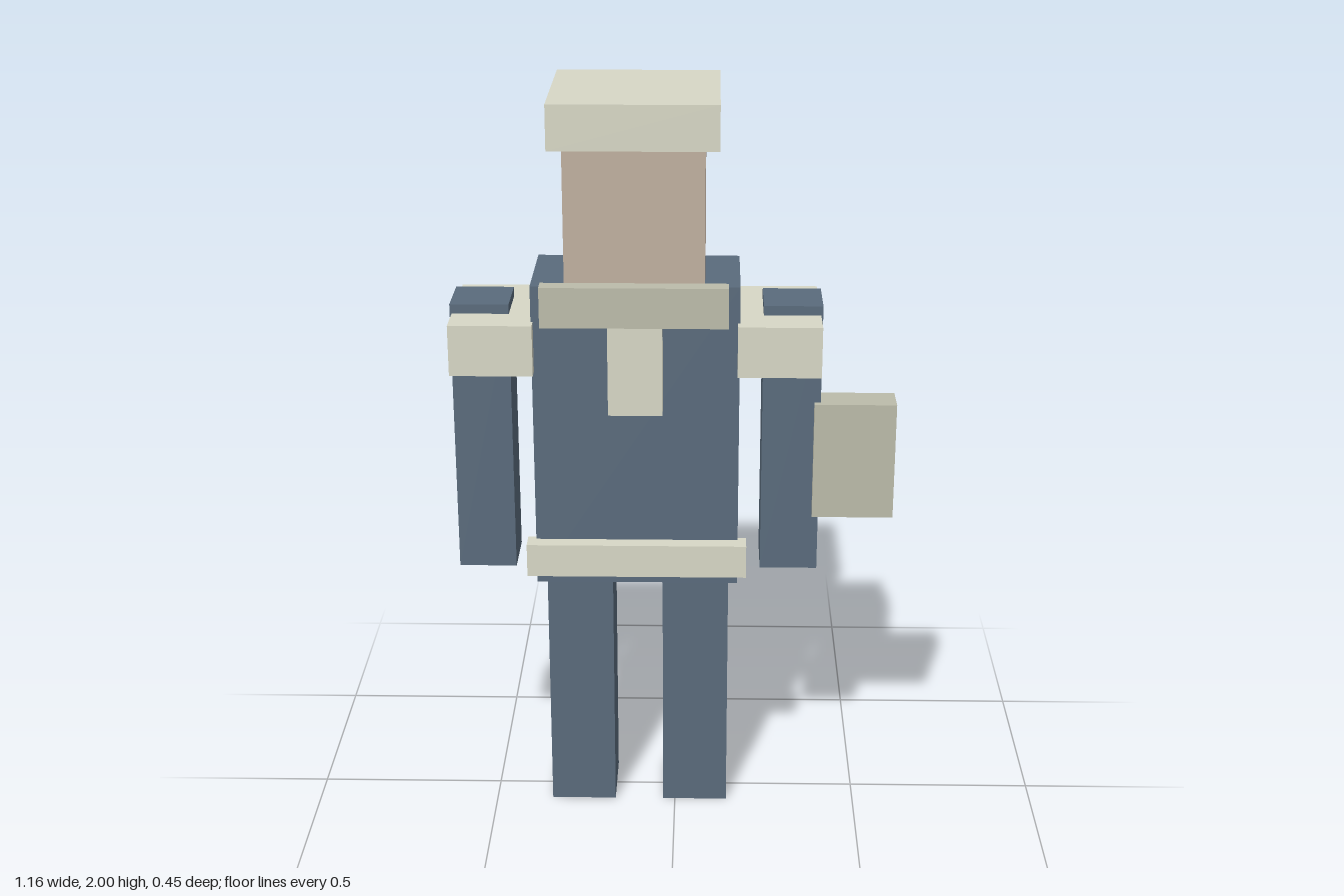
import * as THREE from 'three';

const mat = (color) => new THREE.MeshStandardMaterial({ color, flatShading: true });

export function createModel() {
  const model = new THREE.Group();
  const blue = mat(0x5a6b7c), cream = mat(0xd8d8c6), khaki = mat(0xbcbcaa), skin = mat(0xc0b0a0);
  const midX = -0.1; // the body's centre line; the carried box widens the left side

  // Box from its extents on each axis
  const block = (name, material, [x0, x1], [y0, y1], [z0, z1]) => {
    const mesh = new THREE.Mesh(new THREE.BoxGeometry(x1 - x0, y1 - y0, z1 - z0), material);
    mesh.position.set((x0 + x1) / 2, (y0 + y1) / 2, (z0 + z1) / 2);
    mesh.name = name;
    model.add(mesh);
  };
  // Box centred on the body
  const centred = (name, material, width, y, z) =>
    block(name, material, [midX - width / 2, midX + width / 2], y, z);
  // Pair of boxes mirrored about the body, given by distances from its centre
  const pair = (name, material, [near, far], y, z) => {
    block('left' + name, material, [midX + near, midX + far], y, z);
    block('right' + name, material, [midX - far, midX - near], y, z);
  };

  // Head and flat cap
  centred('head', skin, 0.355, [1.49, 1.885], [-0.187, 0.168]);
  centred('cap', cream, 0.426, [1.885, 2], [-0.226, 0.202]);

  // Body and limbs
  centred('torso', blue, 0.535, [0.695, 1.52], [-0.155, 0.13]);
  pair('Leg', blue, [0.067, 0.244], [0, 0.695], [-0.107, 0.085]);
  pair('Arm', blue, [0.329, 0.482], [0.71, 1.45], [-0.092, 0.063]);
  pair('ShoulderPad', cream, [0.262, 0.477], [1.29, 1.425], [-0.193, 0.165]);

  // Front trim
  centred('collar', khaki, 0.475, [1.44, 1.545], [0.18, 0.225]);
  centred('chestFlap', cream, 0.14, [1.19, 1.45], [0.125, 0.18]);
  centred('belt', cream, 0.58, [0.73, 0.82], [0.116, 0.172]);

  // Box carried outside the left arm
  block('sideBox', khaki, [0.365, 0.58], [0.868, 1.187], [-0.012, 0.082]);

  return model;
}
